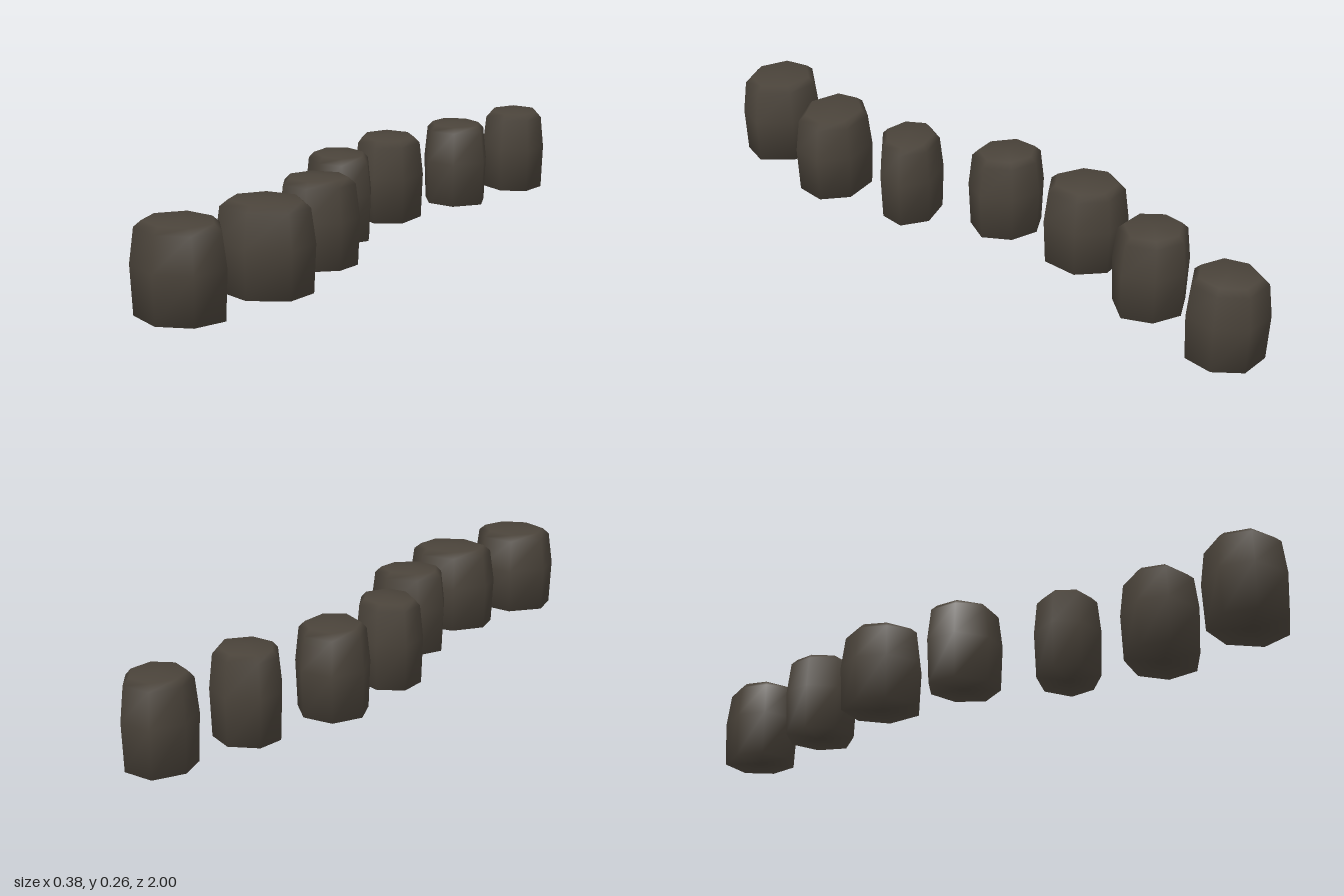
import * as THREE from 'three';

// Seven-sided outline of each stone at its widest, as [x, z] corners
const OUTLINES = [
  [[0.02, -1], [0.12, -0.995], [0.178, -0.915], [0.167, -0.82], [0.087, -0.778], [-0.003, -0.82], [-0.029, -0.91]],
  [[0, -0.709], [0.087, -0.667], [0.124, -0.577], [0.056, -0.497], [-0.04, -0.503], [-0.098, -0.582], [-0.087, -0.667]],
  [[-0.146, -0.413], [-0.045, -0.418], [0.029, -0.344], [0.024, -0.228], [-0.056, -0.18], [-0.156, -0.233], [-0.193, -0.323]],
  [[-0.098, -0.116], [-0.008, -0.085], [0.04, 0], [-0.008, 0.085], [-0.093, 0.09], [-0.177, 0.021], [-0.177, -0.074]],
  [[0.066, 0.18], [0.146, 0.233], [0.135, 0.317], [0.056, 0.386], [-0.04, 0.37], [-0.082, 0.296], [-0.04, 0.212]],
  [[0.114, 0.466], [0.19, 0.534], [0.177, 0.635], [0.066, 0.698], [-0.056, 0.661], [-0.077, 0.571], [-0.008, 0.481]],
  [[-0.061, 0.762], [0.056, 0.772], [0.13, 0.862], [0.093, 0.958], [-0.008, 1], [-0.119, 0.952], [-0.14, 0.852]],
];

// Height and scale of the rings: base, belly, shoulder, top rim
const RINGS = [[0, 0.95], [0.14, 1], [0.24, 0.9], [0.258, 0.74]];
const TOP = 0.263;

function stoneGeometry(outline) {
  const n = outline.length;
  const cx = outline.reduce((s, p) => s + p[0], 0) / n;
  const cz = outline.reduce((s, p) => s + p[1], 0) / n;
  const pos = [], index = [];
  for (const [y, s] of RINGS) {
    for (const [x, z] of outline) pos.push(cx + (x - cx) * s, y, cz + (z - cz) * s);
  }
  const bottom = RINGS.length * n, top = bottom + 1, rim = (RINGS.length - 1) * n;
  pos.push(cx, 0, cz, cx, TOP, cz);
  for (let i = 0; i < n; i++) {
    const j = (i + 1) % n;
    for (let r = 0; r < rim; r += n) {
      index.push(r + j, r + i, r + n + i, r + j, r + n + i, r + n + j);
    }
    index.push(top, rim + j, rim + i, bottom, i, j);
  }
  const geometry = new THREE.BufferGeometry();
  geometry.setAttribute('position', new THREE.Float32BufferAttribute(pos, 3));
  geometry.setIndex(index);
  geometry.computeVertexNormals(); // shared corners give soft shading
  return geometry;
}

export function createModel() {
  const model = new THREE.Group();
  model.name = 'steppingStones';
  const darkStone = new THREE.MeshStandardMaterial({ color: 0x4a433a });
  darkStone.name = 'darkStone';
  OUTLINES.forEach((outline, i) => {
    const stone = new THREE.Mesh(stoneGeometry(outline), darkStone);
    stone.name = `stone${i + 1}`;
    model.add(stone);
  });
  return model;
}
